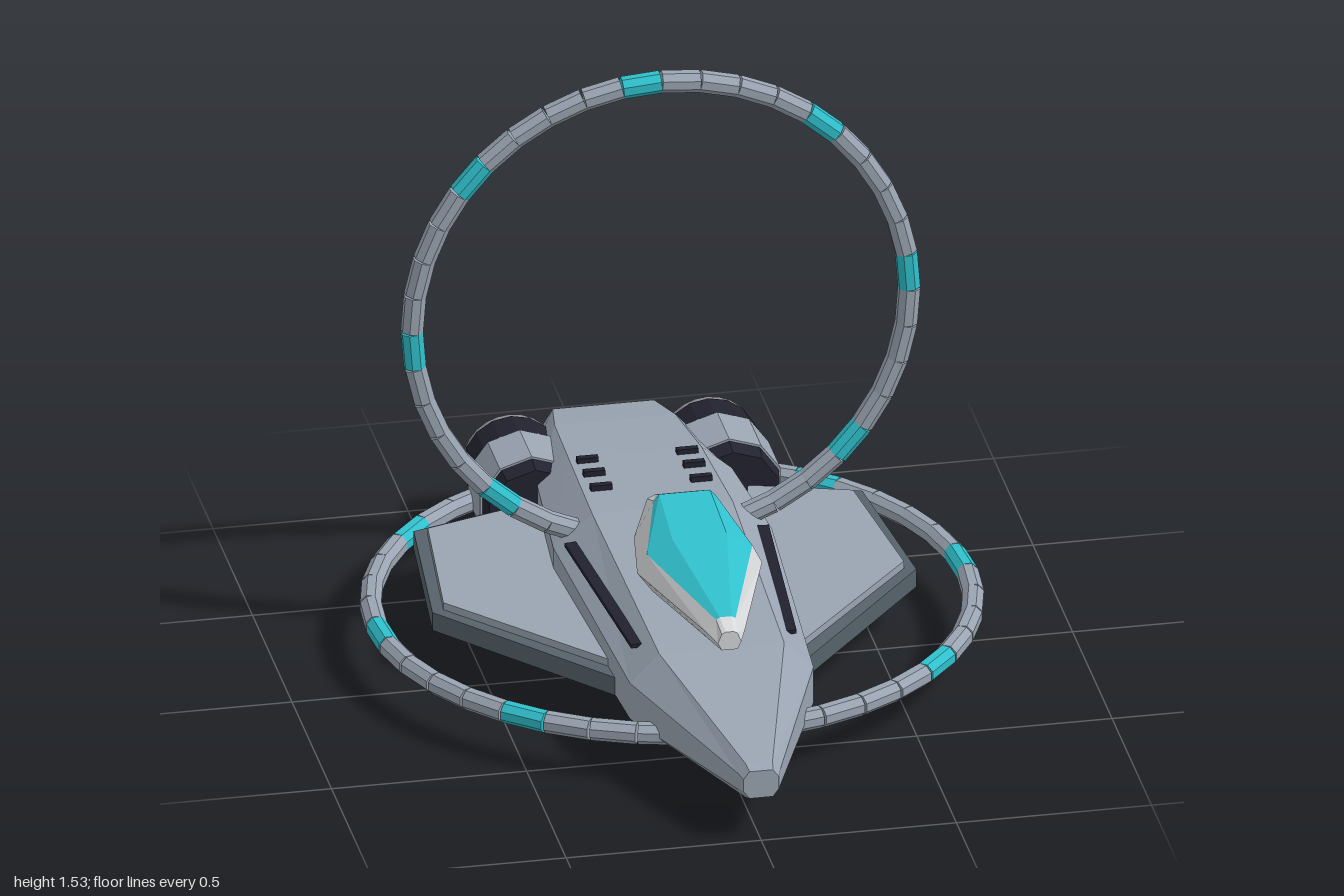
import * as THREE from 'three';

const mat = (name, color, extra = {}) => {
  const m = new THREE.MeshStandardMaterial({ color, ...extra });
  m.name = name;
  return m;
};

export function createModel() {
  const flat = { flatShading: true };
  const hullGrey = mat('hullGrey', 0x9aa4b2, flat);
  const wingDark = mat('wingDark', 0x56626a, flat);
  const black = mat('black', 0x222230, flat);
  const white = mat('canopyWhite', 0xd6d8da, flat);
  const teal = mat('teal', 0x30c0cc, flat);
  const rimGrey = mat('rimGrey', 0x8c8c90, flat);

  const root = new THREE.Group();
  const add = (parent, name, geo, material, x = 0, y = 0, z = 0) => {
    const mesh = new THREE.Mesh(geo, material);
    mesh.name = name;
    mesh.position.set(x, y, z);
    parent.add(mesh);
    return mesh;
  };

  // Lofts mirrored half sections [z, x0, y0, x1, y1, ...] (bottom to top, back to front)
  const loft = (sections, isPainted = () => false) => {
    const rings = sections.map(([z, ...v]) => {
      const half = [];
      for (let i = 0; i < v.length; i += 2) half.push([v[i], v[i + 1], z]);
      return [...half, ...half.map(([x, y]) => [-x, y, z]).reverse()];
    });
    const n = rings[0].length, parts = [[], []];
    for (let s = 0; s < rings.length - 1; s++) {
      for (let j = 0; j < n; j++) {
        const k = (j + 1) % n, a = rings[s], b = rings[s + 1];
        parts[isPainted(s, j) ? 1 : 0].push(...a[j], ...a[k], ...b[k], ...a[j], ...b[k], ...b[j]);
      }
    }
    const first = rings[0], last = rings[rings.length - 1];
    for (let j = 1; j < n - 1; j++) {
      parts[0].push(...last[0], ...last[j], ...last[j + 1], ...first[0], ...first[j + 1], ...first[j]);
    }
    const geo = new THREE.BufferGeometry();
    geo.setAttribute('position', new THREE.Float32BufferAttribute([...parts[0], ...parts[1]], 3));
    geo.addGroup(0, parts[0].length / 3, 0);
    if (parts[1].length) geo.addGroup(parts[0].length / 3, parts[1].length / 3, 1);
    geo.computeVertexNormals();
    return geo;
  };

  // Fuselage
  add(root, 'fuselage', loft([
    [-1.0, 0.10, 0.09, 0.16, 0.13, 0.16, 0.20, 0.13, 0.25],
    [-0.85, 0.13, 0.065, 0.20, 0.12, 0.20, 0.23, 0.155, 0.28],
    [-0.6, 0.16, 0.04, 0.25, 0.11, 0.25, 0.24, 0.17, 0.31],
    [-0.25, 0.17, 0.035, 0.28, 0.11, 0.28, 0.24, 0.18, 0.325],
    [0.5, 0.15, 0.06, 0.235, 0.12, 0.235, 0.22, 0.16, 0.295],
    [0.97, 0.035, 0.11, 0.055, 0.135, 0.055, 0.18, 0.035, 0.205],
    [1.0, 0.03, 0.12, 0.045, 0.14, 0.045, 0.175, 0.03, 0.195],
  ]), [hullGrey]);

  // Floating cockpit with glazed upper faces
  add(root, 'cockpit', loft([
    [-0.1, 0.06, 0.345, 0.078, 0.38, 0.07, 0.43, 0.05, 0.44],
    [0.03, 0.10, 0.335, 0.13, 0.39, 0.08, 0.488, 0.065, 0.505],
    [0.22, 0.12, 0.33, 0.16, 0.385, 0.135, 0.435, 0.07, 0.472],
    [0.55, 0.03, 0.335, 0.05, 0.37, 0.025, 0.402, 0.015, 0.408],
    [0.6, 0.02, 0.34, 0.03, 0.36, 0.02, 0.385, 0.01, 0.39],
  ], (s, j) => (s === 1 || s === 2) && j >= 2 && j <= 4), [white, teal]);

  // Flat plate from [x, z] corners, mirrored by side
  const plate = (pts, side, depth) => new THREE.ExtrudeGeometry(
    new THREE.Shape(pts.map(([x, z]) => new THREE.Vector2(x * side, -z))),
    { depth, bevelEnabled: false }).rotateX(-Math.PI / 2);

  const wing = [[0.1, 0.48], [0.22, 0.38], [0.62, -0.1], [0.575, -0.56], [0.29, -0.65], [0.1, -0.65]];
  const panel = [[0.2, 0.34], [0.59, -0.11], [0.545, -0.53], [0.29, -0.61], [0.22, -0.2]];

  for (const side of [1, -1]) {
    const label = side > 0 ? 'left' : 'right';
    add(root, label + 'Wing', plate(wing, side, 0.05), wingDark, 0, 0.115, 0);
    add(root, label + 'WingPanel', plate(panel, side, 0.02), hullGrey, 0, 0.165, 0);

    // Side slot and roof vents
    const slot = add(root, label + 'SideSlot', new THREE.BoxGeometry(0.03, 0.01, 0.6), black,
      side * 0.222, 0.272, 0.1);
    slot.rotation.y = side * Math.atan2(-0.05, 0.6);
    for (const [z, y] of [[-0.57, 0.315], [-0.485, 0.32], [-0.395, 0.324]]) {
      add(root, label + 'RoofVent', new THREE.BoxGeometry(0.055, 0.02, 0.018), black, side * 0.128, y, z);
    }

    // Engine
    const engine = new THREE.Group();
    engine.name = label + 'Engine';
    engine.position.set(side * 0.253, 0.157, 0);
    root.add(engine);
    const drum = (name, rFront, rBack, z0, z1, material, sides = 10) => add(engine, name,
      new THREE.CylinderGeometry(rFront, rBack, z1 - z0, sides).rotateX(Math.PI / 2),
      material, 0, 0, (z0 + z1) / 2);
    drum('intake', 0.125, 0.133, -0.655, -0.605, black);
    drum('casing', 0.139, 0.139, -0.81, -0.655, hullGrey);
    drum('nozzle', 0.132, 0.124, -0.92, -0.81, black, 16);
    const rim = new THREE.Shape().absarc(0, 0, 0.12, 0, Math.PI * 2);
    rim.holes.push(new THREE.Path().absarc(0, 0, 0.096, 0, Math.PI * 2));
    add(engine, 'nozzleRim', new THREE.ExtrudeGeometry(rim,
      { depth: 0.025, bevelEnabled: false, curveSegments: 12 }), rimGrey, 0, 0, -0.938);
    drum('thrusterGlow', 0.06, 0.06, -0.926, -0.918, teal, 16);
    for (let i = 0; i < 10; i++) {
      const a = i * Math.PI / 5;
      const tick = add(engine, 'nozzleTick', new THREE.BoxGeometry(0.012, 0.007, 0.006), rimGrey,
        Math.cos(a) * 0.08, Math.sin(a) * 0.08, -0.921);
      tick.rotation.z = a;
    }

    // Belly rail
    add(root, label + 'BellyRail', new THREE.BoxGeometry(0.018, 0.014, 0.18), rimGrey, side * 0.11, 0.007, -0.147);
  }

  // Belly hatch
  add(root, 'bellyHatch', new THREE.BoxGeometry(0.2, 0.025, 0.3), black, 0, 0.029, -0.15);

  // Segmented rings, every fifth segment lit
  const ring = (name, radius, lit) => {
    const group = new THREE.Group(), count = 40, step = Math.PI * 2 / count;
    group.name = name;
    const geo = new THREE.CylinderGeometry(0.029, 0.029, 2 * radius * Math.tan(step / 2) * 0.98, 8);
    geo.rotateY(Math.PI / 8);
    for (let i = 0; i < count; i++) {
      const a = (i + 0.5) * step, on = i % 5 === lit;
      const seg = add(group, on ? 'litSegment' : 'ringSegment', geo, on ? teal : hullGrey,
        Math.cos(a) * radius, Math.sin(a) * radius, 0);
      seg.rotation.z = a;
    }
    root.add(group);
    return group;
  };
  ring('uprightRing', 0.635, 0).position.set(0, 0.87, -0.275);
  const level = ring('levelRing', 0.755, 4);
  level.rotation.x = Math.PI / 2;
  level.position.set(0, 0.125, -0.13);

  return root;
}
